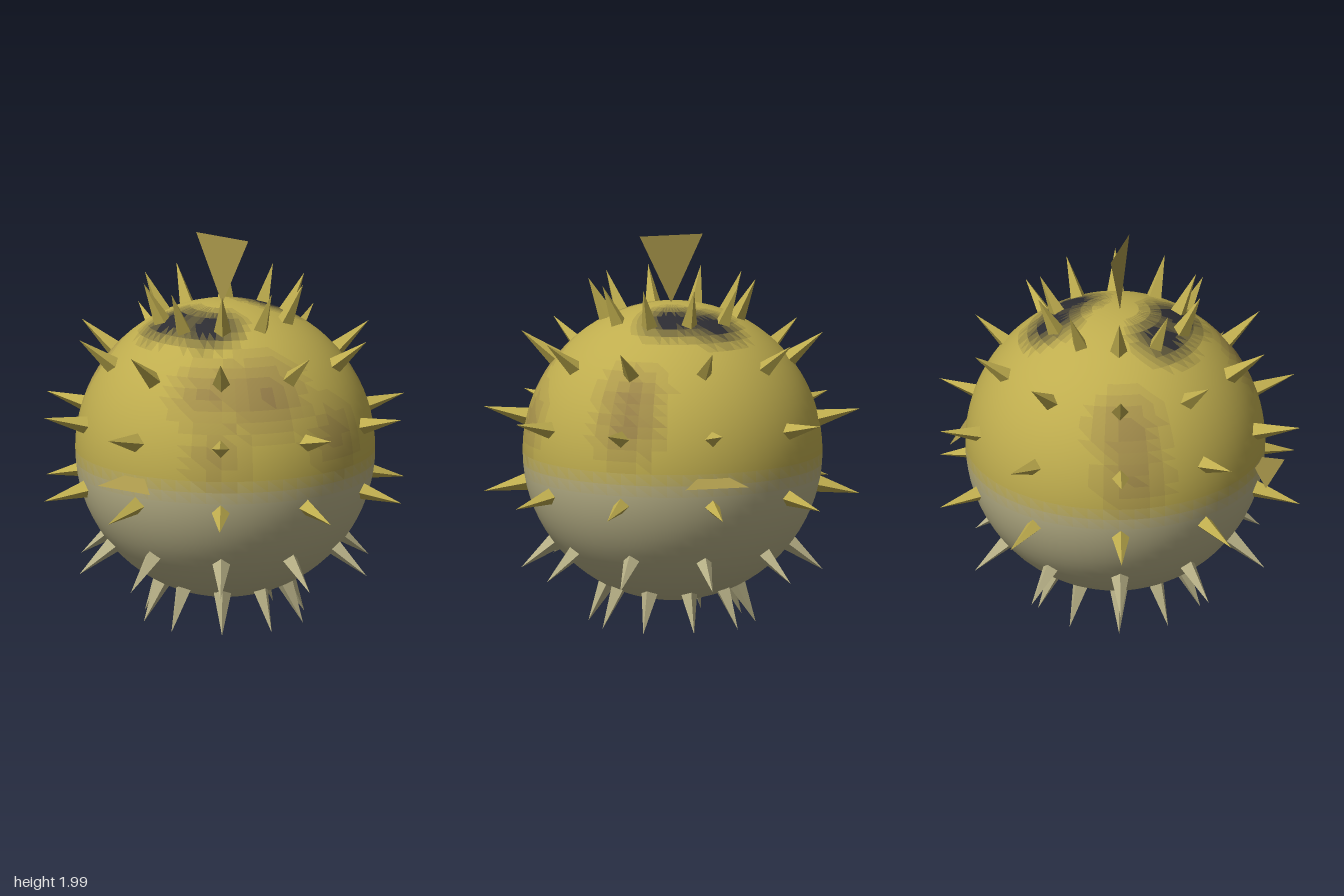
import * as THREE from 'three';

const CENTER_Y = 0.895;
const YELLOW = new THREE.Color(0xbfad4e);
const PALE = new THREE.Color(0xb9b288);
const BROWN = new THREE.Color(0x8c7148);
const DARK = new THREE.Color(0x2c2c32);

// Skin spots: centre relative to the body centre, radius, strength, colour
const SPOTS = [
  [-0.35, 0.42, 0.53, 0.30, 0.9, BROWN], [-0.55, 0.42, 0.30, 0.25, 0.7, BROWN],
  [-0.05, 0.19, 0.74, 0.25, 0.6, BROWN], [-0.62, 0.12, 0.42, 0.22, 0.5, BROWN],
  [0.56, 0.40, 0.38, 0.24, 0.8, BROWN], [0.61, 0.22, 0.42, 0.24, 0.8, BROWN],
  [-0.30, 0.15, -0.68, 0.24, 0.7, BROWN], [-0.25, 0.40, -0.60, 0.26, 0.8, BROWN],
  [-0.28, 0.69, 0.12, 0.22, 1.4, DARK], [-0.29, 0.69, -0.12, 0.22, 1.4, DARK],
  [0.25, 0.70, 0.08, 0.22, 1.4, DARK], [0.30, 0.68, -0.12, 0.22, 1.4, DARK],
];

const material = (color, side = THREE.FrontSide, flatShading = false) =>
  new THREE.MeshStandardMaterial({ color, roughness: 0.9, side, flatShading });

function skinColor(p) {
  const belly = THREE.MathUtils.smoothstep(-p.y, -0.04, 0.16);
  const color = YELLOW.clone().lerp(PALE, Math.round(belly * 6) / 6);
  for (const [x, y, z, radius, strength, tint] of SPOTS) {
    const w = 1 - p.distanceTo(new THREE.Vector3(x, y, z)) / radius;
    const t = Math.min(1, Math.max(0, w * strength));
    color.lerp(tint, Math.round(t * 6) / 6);
  }
  return color;
}

// Round body: faces sorted into one mesh per skin shade, sharing smooth normals
function createBody() {
  const body = new THREE.Group();
  body.name = 'body';
  const sphere = new THREE.SphereGeometry(0.764, 60, 40);
  const { position, normal } = sphere.attributes;
  const index = sphere.index.array;
  const shades = new Map();
  for (let i = 0; i < index.length; i += 3) {
    const face = [index[i], index[i + 1], index[i + 2]];
    const middle = new THREE.Vector3();
    face.forEach((v) => middle.add(new THREE.Vector3().fromBufferAttribute(position, v)));
    const hex = skinColor(middle.divideScalar(3)).getHex();
    if (!shades.has(hex)) shades.set(hex, []);
    shades.get(hex).push(...face);
  }
  for (const [hex, faces] of shades) {
    const geometry = new THREE.BufferGeometry();
    geometry.setAttribute('position', position);
    geometry.setAttribute('normal', normal);
    geometry.setIndex(faces);
    const mesh = new THREE.Mesh(geometry, material(hex));
    mesh.name = 'skin';
    body.add(mesh);
  }
  body.position.set(0.025, CENTER_Y, 0);
  return body;
}

// Six rings of ten four-sided spikes pointing straight out of the body
function createSpikes() {
  const spikes = new THREE.Group();
  spikes.name = 'spikes';
  const inner = 0.72;
  const tip = 0.983;
  const cone = new THREE.ConeGeometry(0.052, tip - inner, 4);
  cone.translate(0, (tip + inner) / 2, 0);
  for (let ring = 1; ring <= 6; ring++) {
    const skin = material(ring <= 4 ? YELLOW : PALE, THREE.FrontSide, true);
    for (let i = 0; i < 10; i++) {
      const spike = new THREE.Mesh(cone, skin);
      spike.name = 'spike';
      spike.rotation.order = 'YXZ';
      spike.rotation.set(0, (i * Math.PI) / 5, (-ring * Math.PI) / 7);
      spike.position.x = i % 5 ? 0.015 : 0;
      spikes.add(spike);
    }
  }
  spikes.position.y = CENTER_Y;
  return spikes;
}

// Thin triangular fin: root point and an outer edge running along z
function createFin(name, root, outer) {
  const geometry = new THREE.BufferGeometry().setFromPoints([
    new THREE.Vector3(root[0], root[1], 0),
    new THREE.Vector3(outer[0], outer[1], 0.167),
    new THREE.Vector3(outer[0], outer[1], -0.167),
  ]);
  geometry.computeVertexNormals();
  const fin = new THREE.Mesh(geometry, material(0xa8964a, THREE.DoubleSide));
  fin.name = name;
  return fin;
}

export function createModel() {
  const model = new THREE.Group();
  model.name = 'spikyFish';
  model.add(
    createBody(),
    createSpikes(),
    createFin('topFin', [0, 1.65], [0, 2]),
    createFin('leftFin', [0.71, 0.915], [0.855, 0.83]),
    createFin('rightFin', [-0.68, 0.915], [-0.825, 0.83]),
  );
  return model;
}
